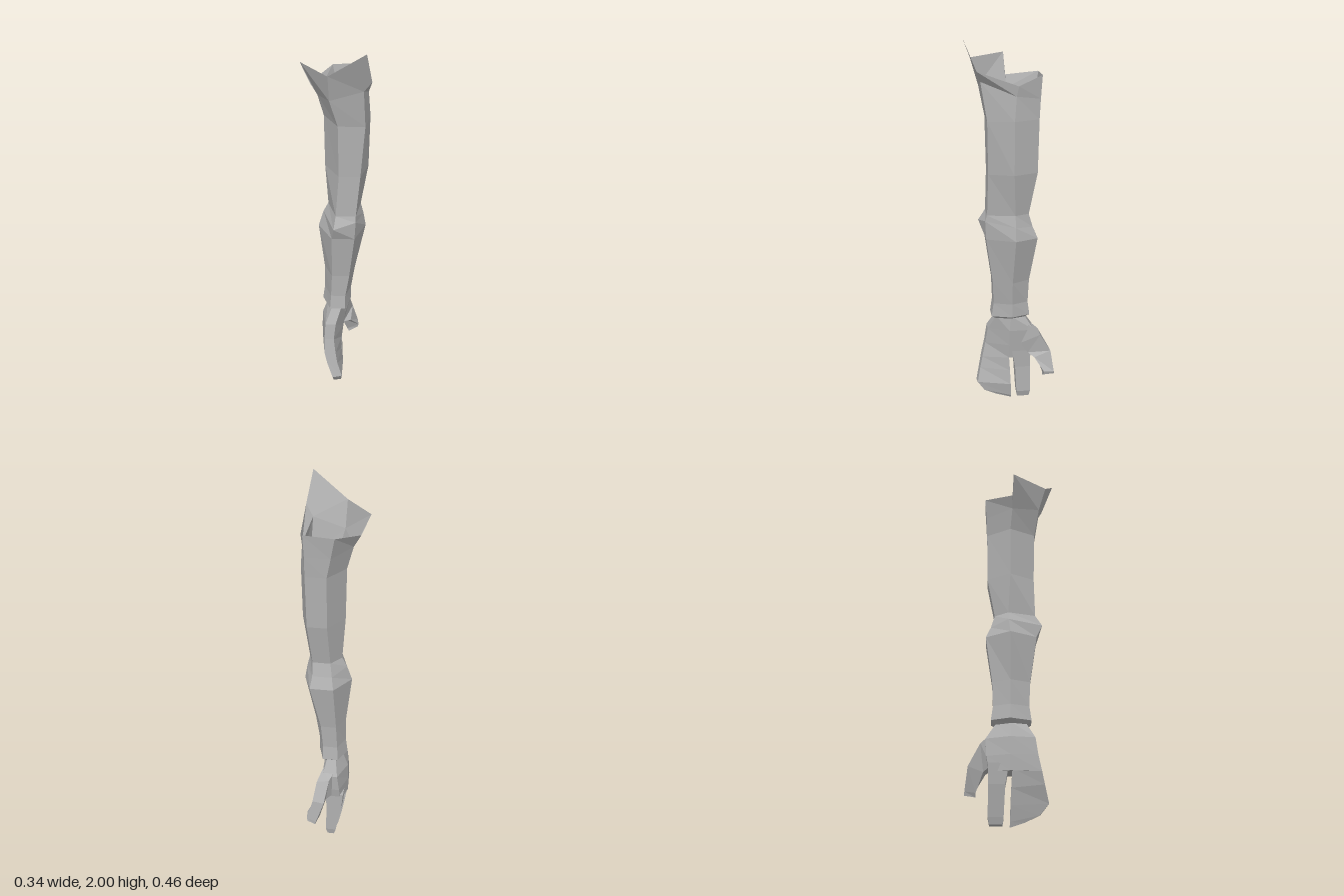
import * as THREE from 'three';

// Skins a list of equal-length point rings, running downward, each ordered front -> +x -> back -> -x.
function loft(rings, capTop, capBottom) {
  const pos = [];
  const tri = (...pts) => pts.forEach(p => pos.push(...p));
  const n = rings[0].length;
  for (let r = 0; r < rings.length - 1; r++) {
    const a = rings[r], b = rings[r + 1];
    for (let i = 0; i < n; i++) {
      const j = (i + 1) % n;
      if (b[i] !== b[j]) tri(a[i], b[i], b[j]);
      if (a[i] !== a[j]) tri(a[i], b[j], a[j]);
    }
  }
  const top = rings[0], bot = rings[rings.length - 1];
  for (let i = 1; i < n - 1; i++) {
    if (capTop) tri(top[0], top[i], top[i + 1]);
    if (capBottom) tri(bot[0], bot[i + 1], bot[i]);
  }
  const g = new THREE.BufferGeometry();
  g.setAttribute('position', new THREE.Float32BufferAttribute(pos, 3));
  g.computeVertexNormals();
  return g;
}

export function createModel() {
  const grey = new THREE.MeshStandardMaterial({ color: 0xb0b0b0, flatShading: true, side: THREE.DoubleSide });
  grey.name = 'grey';
  const group = new THREE.Group();
  const add = (name, geo) => {
    const m = new THREE.Mesh(geo, grey);
    m.name = name;
    group.add(m);
  };

  // Six-sided sleeve section: front pair, left corner, back pair, right corner.
  const hex = (y, xa, xb, zf, xc, zc, xd, xe, zb, xf, zg) => [
    [xa, y, zf], [xb, y, zf], [xc, y, zc], [xd, y, zb], [xe, y, zb], [xf, y, zg]];
  const sections = [
    [[-0.03, 1.74, 0.145], [0.13, 1.79, 0.15], [0.155, 1.72, -0.02],
      [0.125, 1.7, -0.14], [0, 1.7, -0.138], [-0.09, 1.71, 0]],
    hex(1.6, 0.01, 0.14, 0.12, 0.165, -0.01, 0.125, 0.02, -0.135, -0.06, -0.01),
    hex(1.33, 0.015, 0.12, 0.115, 0.16, -0.01, 0.12, 0.02, -0.13, -0.055, -0.01),
    hex(1.11, 0, 0.1, 0.12, 0.125, -0.02, 0.1, 0.01, -0.09, -0.04, -0.02),
    [[-0.01, 1.05, 0.155], [0.1, 1.08, 0.13], [0.14, 1.05, -0.02],
      [0.1, 1.04, -0.11], [0, 1.04, -0.11], [-0.065, 1.06, -0.02]],
    hex(0.98, -0.02, 0.095, 0.125, 0.152, -0.02, 0.11, -0.01, -0.135, -0.09, -0.01),
    hex(0.73, -0.02, 0.07, 0.09, 0.1, -0.01, 0.06, -0.02, -0.1, -0.06, -0.01),
    hex(0.6, -0.025, 0.05, 0.085, 0.08, -0.01, 0.05, -0.025, -0.095, -0.06, -0.01),
    hex(0.525, -0.03, 0.05, 0.095, 0.08, -0.01, 0.05, -0.03, -0.105, -0.07, -0.01),
    hex(0.505, -0.02, 0.035, 0.07, 0.05, -0.01, 0.035, -0.02, -0.08, -0.045, -0.01)];

  // Ragged shoulder rim; two corners have an extra point, so sections repeat those corners.
  const rim = [[-0.035, 1.875, 0.183], [0.14, 2, 0.232], [0.167, 1.845, 0.17], [0.16, 1.77, -0.03],
    [0.13, 1.815, -0.147], [-0.02, 1.805, -0.148], [-0.125, 1.77, 0], [-0.17, 1.875, 0.005]];
  const widen = s => [s[0], s[1], s[1], s[2], s[3], s[4], s[5], s[5]];
  add('sleeve', loft([rim, ...sections.map(widen)], false, false));

  // Palm with the three joined fingers, narrowing to a curved fingertip edge.
  add('palm', loft([
    hex(0.515, -0.02, 0.03, 0.068, 0.048, -0.01, 0.03, -0.015, -0.078, -0.042, -0.01),
    hex(0.43, -0.055, 0, 0.112, 0.05, 0, 0.05, -0.03, -0.13, -0.072, -0.01),
    hex(0.34, -0.06, -0.01, 0.125, 0.04, 0, 0.04, -0.04, -0.125, -0.075, -0.01),
    hex(0.26, -0.06, 0, 0.142, 0.03, 0, 0.03, -0.045, -0.11, -0.073, -0.01)], true, true));
  add('joinedFingers', loft([
    [[-0.06, 0.26, 0.142], [0, 0.26, 0.142], [0.025, 0.27, 0], [-0.07, 0.27, 0]],
    [[-0.045, 0.2, 0.155], [0.01, 0.2, 0.155], [0.03, 0.18, -0.005], [-0.055, 0.18, -0.005]],
    [[-0.015, 0.115, 0.175], [0.035, 0.125, 0.172], [0.04, 0.1, -0.008], [-0.04, 0.1, -0.008]],
    [[-0.01, 0.06, 0.13], [0.03, 0.07, 0.135], [0.03, 0.025, -0.01], [-0.022, 0.025, -0.01]],
    [[-0.01, 0.025, 0.06], [0.025, 0.035, 0.065], [0.022, 0.01, -0.012], [-0.015, 0, -0.01]]], false, true));

  // Straight rectangular bars for the index finger.
  const bar = (y, x0, x1, z0, z1) => [[x0, y, z1], [x1, y, z1], [x1, y, z0], [x0, y, z0]];
  add('indexFinger', loft([
    bar(0.3, -0.06, 0.035, -0.115, -0.015),
    bar(0.2, -0.05, 0.03, -0.115, -0.033),
    bar(0.05, -0.02, 0.035, -0.115, -0.04),
    bar(0.015, -0.01, 0.025, -0.108, -0.045)], true, true));

  // Thumb sweeping backward and outward from the palm.
  add('thumb', loft([
    [[-0.035, 0.37, -0.06], [0.04, 0.35, -0.06], [0.05, 0.46, -0.1], [-0.02, 0.46, -0.1]],
    [[-0.01, 0.3, -0.105], [0.04, 0.29, -0.1], [0.075, 0.41, -0.16], [0.01, 0.42, -0.155]],
    [[0.03, 0.28, -0.14], [0.08, 0.28, -0.13], [0.09, 0.32, -0.215], [0.03, 0.31, -0.215]],
    [[0.06, 0.185, -0.175], [0.125, 0.215, -0.175], [0.12, 0.21, -0.23], [0.07, 0.195, -0.23]],
    [[0.07, 0.165, -0.175], [0.12, 0.195, -0.178], [0.115, 0.195, -0.232], [0.075, 0.175, -0.23]]], true, true));

  return group;
}
